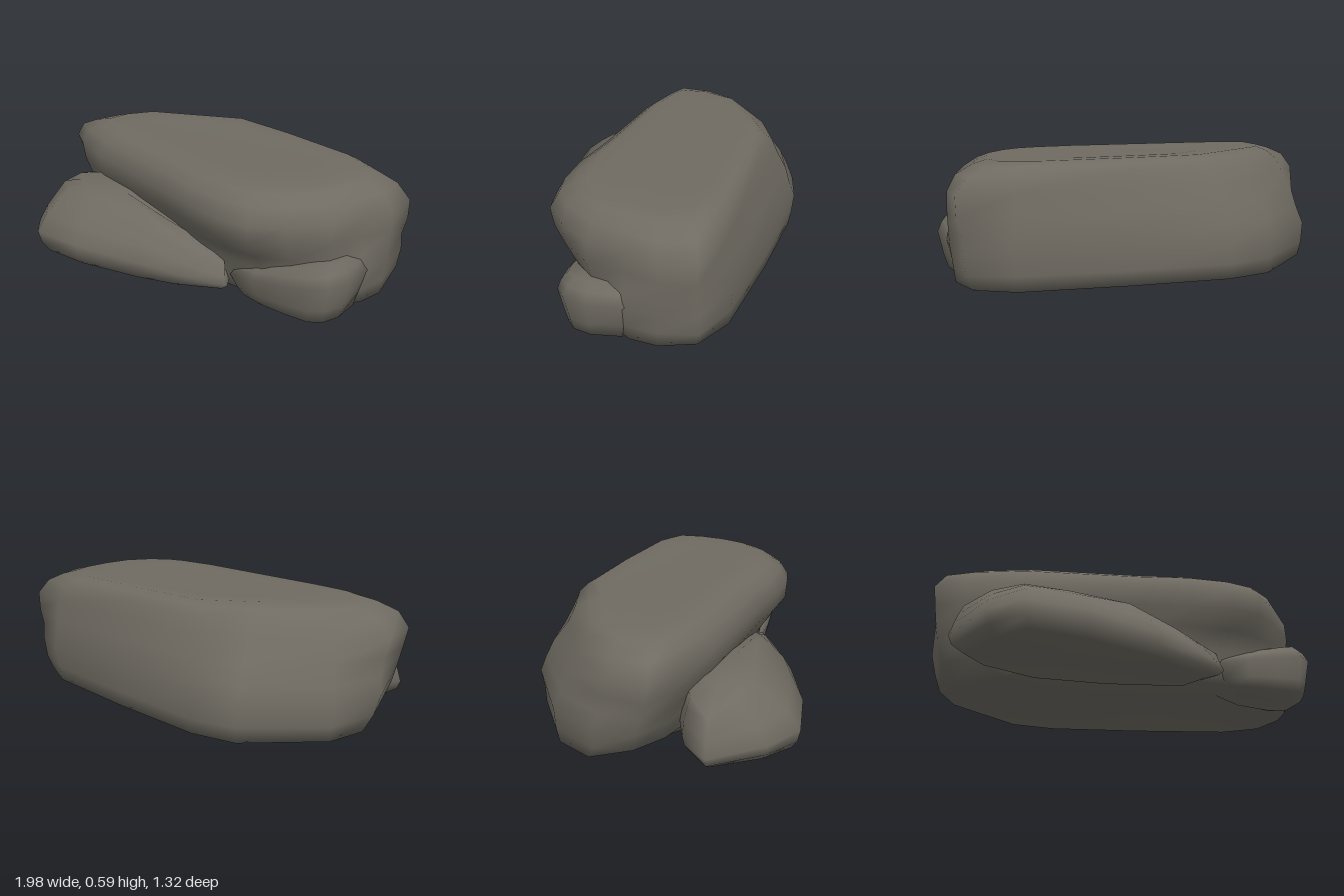
import * as THREE from 'three';
import { mergeVertices } from 'three/addons/utils/BufferGeometryUtils.js';

// Stacked rings: each ring blends between neighbouring [x, z] outlines, then shrinks to a centre.
// ring = [blend (0 = first outline, 1 = second ...), scale, y]
function stone(name, material, outlines, rings, [cx, cz], height) {
  const n = outlines[0].length, pos = [], index = [];
  rings.forEach(([blend, scale, y], r) => {
    const k = Math.min(Math.floor(blend), outlines.length - 2), t = blend - k;
    for (let i = 0; i < n; i++) {
      const p = outlines[k][i], q = outlines[k + 1][i];
      // small chipped irregularity on the sides
      const s = scale * (1 + 0.006 * Math.sin(i * 2.3 + r * 1.9));
      const x = cx + (p[0] + (q[0] - p[0]) * t - cx) * s;
      const z = cz + (p[1] + (q[1] - p[1]) * t - cz) * s;
      pos.push(x, y * height(x, z), z);
    }
  });
  for (let r = 0; r < rings.length - 1; r++) {
    for (let i = 0; i < n; i++) {
      const a = r * n + i, b = r * n + (i + 1) % n;
      index.push(a, a + n, b, b, a + n, b + n);
    }
  }
  let geo = new THREE.BufferGeometry();
  geo.setAttribute('position', new THREE.Float32BufferAttribute(pos, 3));
  geo.setIndex(index);
  geo = mergeVertices(geo, 1e-4);
  geo.computeVertexNormals();
  const mesh = new THREE.Mesh(geo, material);
  mesh.name = name;
  return mesh;
}

export function createModel() {
  const group = new THREE.Group();
  group.name = 'rockCluster';
  const rock = new THREE.MeshStandardMaterial({ color: 0x6f6b62 });
  rock.name = 'grey brown rock';

  // Main slab: sole cut away at one corner, wide back, overhanging front brow, flat top
  const sole = [[-0.82, -0.14], [-0.9, -0.25], [-0.8, -0.42], [-0.44, -0.635], [-0.22, -0.645],
    [0.25, -0.53], [0.75, -0.39], [0.92, -0.27], [0.95, -0.1], [0.93, 0.03], [0.84, 0.15],
    [0.7, 0.23], [0.58, 0.27], [0.43, 0.29], [0.22, 0.29], [0, 0.27], [-0.44, 0.22], [-0.63, 0.05]];
  const foot = [[-0.95, -0.01], [-0.95, -0.2], [-0.82, -0.435], [-0.45, -0.65], [-0.22, -0.66],
    [0.25, -0.54], [0.77, -0.4], [0.96, -0.28], [0.98, -0.1], [0.95, 0.05], [0.86, 0.2],
    [0.71, 0.28], [0.58, 0.33], [0.43, 0.34], [0.22, 0.33], [0, 0.29], [-0.5, 0.19], [-0.83, 0.08]];
  const waist = [[-0.98, 0.03], [-0.95, -0.15], [-0.78, -0.37], [-0.44, -0.575], [-0.21, -0.605],
    [0.24, -0.51], [0.76, -0.39], [0.98, -0.27], [0.98, -0.1], [0.92, 0.05], [0.86, 0.22],
    [0.72, 0.36], [0.58, 0.45], [0.43, 0.465], [0.22, 0.43], [0, 0.37], [-0.58, 0.24], [-0.86, 0.13]];
  const brow = [[-1, 0.06], [-0.96, -0.13], [-0.755, -0.325], [-0.43, -0.5], [-0.2, -0.55],
    [0.24, -0.47], [0.75, -0.37], [0.98, -0.27], [0.985, -0.1], [0.92, 0.04], [0.86, 0.22],
    [0.72, 0.37], [0.58, 0.46], [0.43, 0.478], [0.22, 0.445], [0, 0.385], [-0.6, 0.25], [-0.86, 0.14]];
  const top = [[-0.75, 0.03], [-0.73, -0.11], [-0.65, -0.23], [-0.42, -0.33], [-0.15, -0.44],
    [0.2, -0.39], [0.62, -0.3], [0.76, -0.21], [0.78, -0.08], [0.75, 0.04], [0.69, 0.17],
    [0.6, 0.26], [0.5, 0.3], [0.4, 0.31], [0.2, 0.29], [0, 0.24], [-0.5, 0.13], [-0.67, 0.08]];
  group.add(stone('mainSlab', rock, [sole, foot, waist, brow, top], [
    [0, 0, 0.015], [0, 1, 0.018], [0.8, 0.99, 0.09], [1, 1, 0.19], [1.45, 0.995, 0.27],
    [2, 1, 0.355], [3, 1, 0.45], [3.25, 1, 0.525], [3.65, 1, 0.565], [4, 1, 0.585],
    [4, 0.7, 0.585], [4, 0, 0.575],
  ], [0.05, -0.12], (x, z) => 1 + 0.04 * Math.max(0, -z - 0.1)));

  // Low front slab, tapering to a thin wedge towards +x and dipping at its -x end
  const slabFoot = [[-0.92, 0.28], [-0.79, 0.53], [-0.65, 0.66], [-0.36, 0.645], [0, 0.555],
    [0.22, 0.47], [0.4, 0.37], [0.32, 0.22], [-0.1, 0.1], [-0.5, 0.06], [-0.79, 0.15]].reverse();
  const slabTop = [[-0.86, 0.28], [-0.75, 0.37], [-0.62, 0.45], [-0.4, 0.45], [-0.1, 0.42],
    [0.14, 0.4], [0.37, 0.35], [0.25, 0.24], [-0.1, 0.14], [-0.5, 0.1], [-0.76, 0.18]].reverse();
  const slabHeight = (x) => 1 - 1.1 * Math.max(0, x + 0.1) - 1.5 * Math.max(0, -0.72 - x);
  group.add(stone('frontSlab', rock, [slabFoot, slabTop], [
    [0, 0, 0.008], [0, 0.87, 0.014], [0, 0.96, 0.065], [0, 1, 0.13], [0.3, 1, 0.21],
    [0.65, 1, 0.27], [1, 1, 0.32], [1, 0.7, 0.34], [1, 0, 0.34],
  ], [-0.35, 0.32], slabHeight));

  // Small stone tucked under the overhang
  const smallFoot = [[0.4, 0.34], [0.54, 0.37], [0.7, 0.375], [0.85, 0.365], [0.92, 0.32],
    [0.96, 0.21], [0.955, 0.02], [0.85, -0.01], [0.6, 0.03], [0.4, 0.15]].reverse();
  const smallTop = [[0.45, 0.31], [0.57, 0.325], [0.72, 0.33], [0.83, 0.32], [0.88, 0.27],
    [0.91, 0.2], [0.89, 0.11], [0.82, 0.08], [0.62, 0.09], [0.46, 0.17]].reverse();
  group.add(stone('smallStone', rock, [smallFoot, smallTop], [
    [0, 0, 0.01], [0.3, 0.87, 0.014], [0.35, 0.97, 0.08], [0, 1, 0.2], [0.4, 1, 0.25],
    [1, 1, 0.285], [1, 0, 0.297],
  ], [0.74, 0.2], (x) => Math.min(1, 0.6 + (x - 0.45) * 0.95)));

  return group;
}
